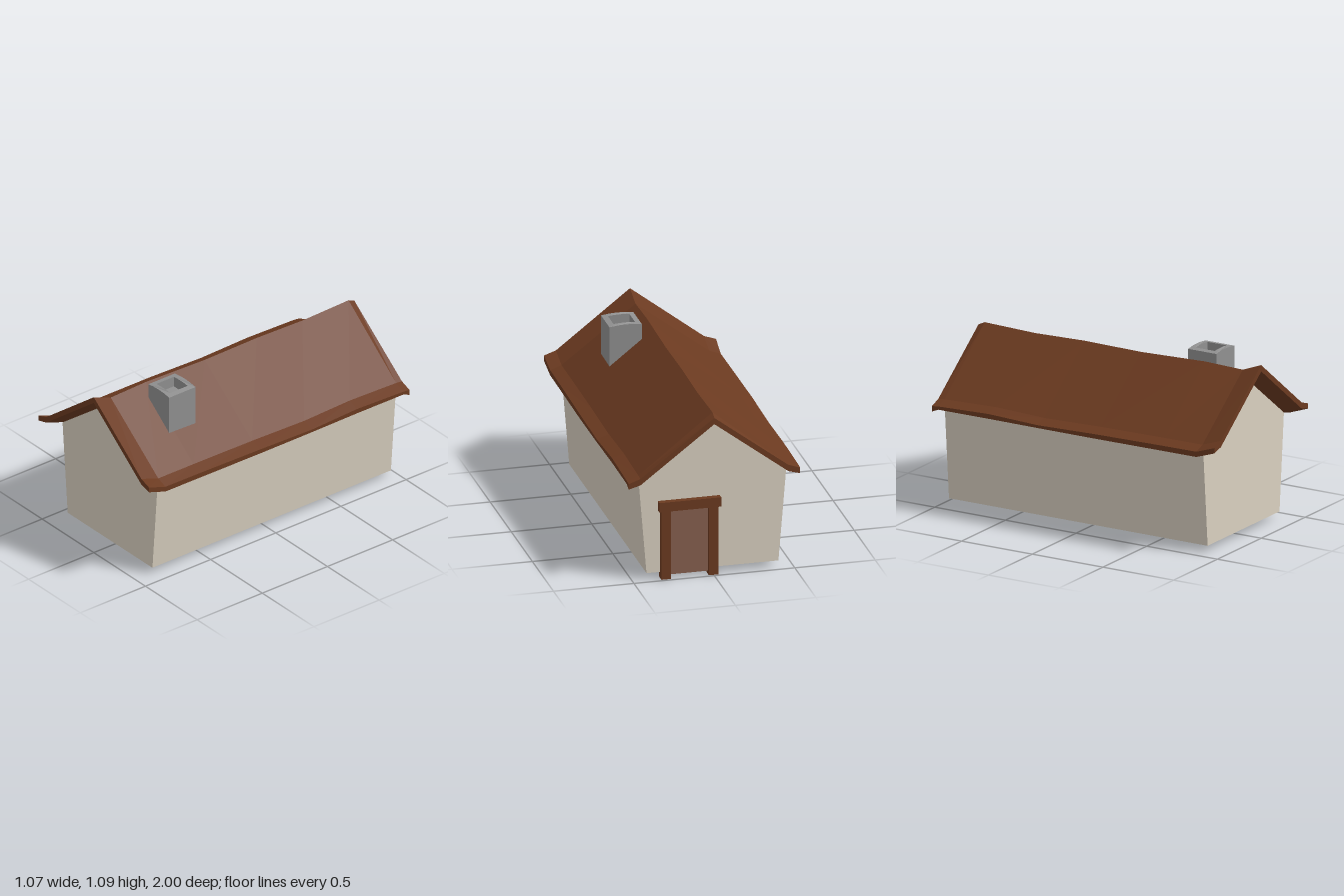
import * as THREE from 'three';

const material = (color, side = THREE.FrontSide) =>
  new THREE.MeshStandardMaterial({ color, flatShading: true, side });
const timber = material(0x6b3a20);
const plaster = material(0xd9d0c0);
const stone = material(0x909090);
const panel = material(0x87604f);

function addMesh(parent, name, geometry, mat) {
  const mesh = new THREE.Mesh(geometry, mat);
  mesh.name = name;
  parent.add(mesh);
  return mesh;
}

// Box given by its lower and upper corners
function addBox(parent, name, [x0, y0, z0], [x1, y1, z1], mat) {
  const mesh = addMesh(parent, name, new THREE.BoxGeometry(x1 - x0, y1 - y0, z1 - z0), mat);
  mesh.position.set((x0 + x1) / 2, (y0 + y1) / 2, (z0 + z1) / 2);
  return mesh;
}

// House body: tapered gable outline run along z
function createWalls() {
  const outline = [[-0.41, 0.04], [0.41, 0.04], [0.46, 0.65], [0, 1.0], [-0.46, 0.65]];
  const shape = new THREE.Shape(outline.map(([x, y]) => new THREE.Vector2(x, y)));
  return new THREE.ExtrudeGeometry(shape, { depth: 1.83, bevelEnabled: false }).translate(0, 0, -0.955);
}

// Sagging roof: a folded slab lofted through stations along z
function createRoof() {
  // z, ridge height, eave top, eave underside, half width
  const stations = [
    [1.0, 1.09, 0.708, 0.675, 0.535],
    [0.87, 1.04, 0.663, 0.63, 0.53],
    [0.6, 1.048, 0.662, 0.63, 0.532],
    [0.15, 1.034, 0.658, 0.63, 0.536],
    [-0.25, 1.039, 0.648, 0.63, 0.535],
    [-0.6, 1.03, 0.66, 0.63, 0.531],
    [-0.955, 1.04, 0.65, 0.63, 0.533],
    [-1.0, 1.02, 0.645, 0.61, 0.533],
  ];
  const rings = stations.map(([z, ridge, top, under, w]) => {
    const bend = top + 0.026, bendUnder = under + 0.02;
    return [
      [w, top], [0.46, bend], [0, ridge], [-0.46, bend], [-w, top],
      [-w, under], [-0.46, bendUnder], [0, ridge - 0.04], [0.46, bendUnder], [w, under],
    ].map(([x, y]) => [x, y, z]);
  });
  const positions = [];
  const quad = (a, b, c, d) => positions.push(...a, ...b, ...c, ...a, ...c, ...d);
  for (let i = 0; i < rings.length - 1; i++) {
    const p = rings[i], q = rings[i + 1];
    for (let j = 0; j < 10; j++) {
      const k = (j + 1) % 10;
      quad(p[j], q[j], q[k], p[k]);
    }
  }
  // End faces
  const front = rings[0], back = rings[rings.length - 1];
  for (let k = 0; k < 4; k++) {
    quad(front[k], front[k + 1], front[8 - k], front[9 - k]);
    quad(back[9 - k], back[8 - k], back[k + 1], back[k]);
  }
  const geometry = new THREE.BufferGeometry();
  geometry.setAttribute('position', new THREE.Float32BufferAttribute(positions, 3));
  geometry.computeVertexNormals();
  return geometry;
}

// Square ring with extra points along x, so that its top can arch
function squareLoop(half) {
  const steps = [-1, -0.5, 0, 0.5, 1];
  return [
    ...steps.map((t) => new THREE.Vector2(t * half, -half)),
    ...steps.map((t) => new THREE.Vector2(-t * half, half)),
  ];
}

function createChimney() {
  const group = new THREE.Group();
  group.name = 'chimney';
  const shape = new THREE.Shape(squareLoop(0.101));
  shape.holes.push(new THREE.Path(squareLoop(0.067).reverse()));
  const geometry = new THREE.ExtrudeGeometry(shape, { depth: 0.29, bevelEnabled: false });
  geometry.rotateX(-Math.PI / 2);
  // Arch the top rim
  const pos = geometry.attributes.position;
  for (let i = 0; i < pos.count; i++) {
    if (pos.getY(i) > 0.2) pos.setY(i, 0.29 - 0.009 * (pos.getX(i) / 0.101) ** 2);
  }
  geometry.computeVertexNormals();
  addMesh(group, 'chimneyStack', geometry, stone);
  addBox(group, 'flueFloor', [-0.068, 0.08, -0.068], [0.068, 0.22, 0.068], stone);
  group.position.set(0.174, 0.8, 0.538);
  return group;
}

// Door in the back gable
function createDoor() {
  const group = new THREE.Group();
  group.name = 'door';
  for (const x of [0, 0.295]) {
    addBox(group, 'doorPost', [x - 0.03, 0, -0.985], [x + 0.03, 0.45, -0.93], timber);
  }
  addBox(group, 'lintel', [-0.045, 0.44, -0.993], [0.34, 0.5, -0.945], timber);
  addBox(group, 'doorPanel', [0.025, 0.022, -0.965], [0.27, 0.445, -0.935], panel);
  return group;
}

export function createModel() {
  const house = new THREE.Group();
  house.name = 'house';
  addMesh(house, 'walls', createWalls(), plaster);
  addMesh(house, 'roof', createRoof(), timber);
  house.add(createChimney(), createDoor());
  return house;
}
